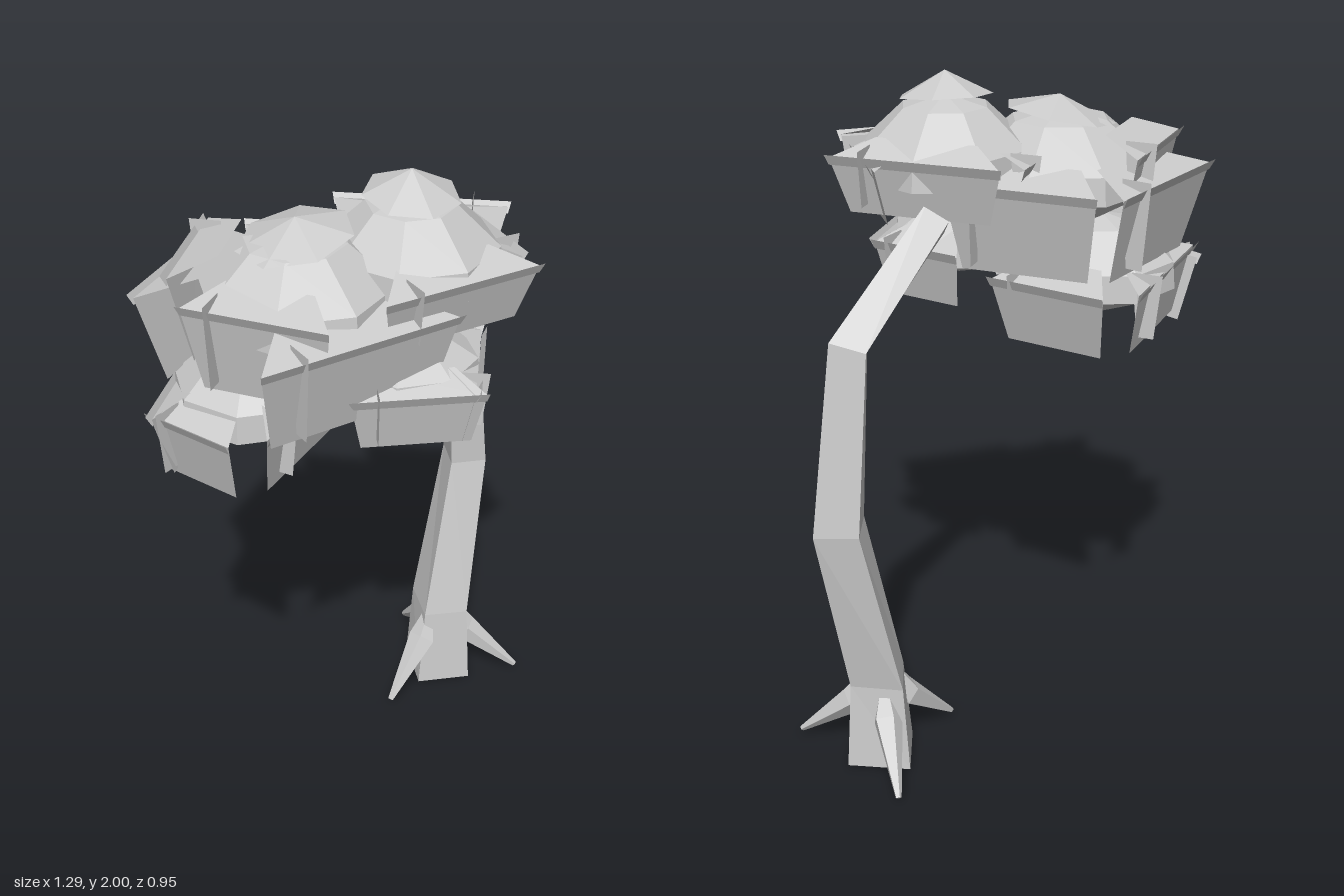
import * as THREE from 'three';

const bark = new THREE.MeshStandardMaterial({ color: 0xcccccc, flatShading: true, side: THREE.DoubleSide });
bark.name = 'pale grey';

function mesh(name, positions, index) {
  const g = new THREE.BufferGeometry();
  g.setAttribute('position', new THREE.Float32BufferAttribute(positions, 3));
  g.setIndex(index);
  const flat = g.toNonIndexed();
  flat.computeVertexNormals();
  const m = new THREE.Mesh(flat, bark);
  m.name = name;
  return m;
}

// Joins equal-sized rings of points into a skin, closing both ends
function loft(name, rings) {
  const n = rings[0].length, index = [];
  for (let r = 0; r < rings.length - 1; r++) {
    for (let i = 0; i < n; i++) {
      const a = r * n + i, b = r * n + (i + 1) % n;
      index.push(a, a + n, b, b, a + n, b + n);
    }
  }
  const last = (rings.length - 1) * n;
  for (let i = 1; i < n - 1; i++) index.push(0, i, i + 1, last, last + i + 1, last + i);
  return mesh(name, rings.flat(2), index);
}

// Faceted, tilted crown layer from [radius, y] steps
function dome(name, steps, sides, tiltX = 0, tiltZ = 0) {
  return loft(name, steps.map(([r, y]) => Array.from({ length: sides }, (_, i) => {
    const a = 0.3 - i / sides * Math.PI * 2;
    const x = r * Math.cos(a), z = r * Math.sin(a);
    return [x, y + x * tiltX + z * tiltZ, z];
  })));
}

// Leaf plate facing outwards: top and bottom edges at their own distance and width
function plate(name, angle, [outTop, widthTop, yTop], [outLow, widthLow, yLow]) {
  const c = Math.cos(angle), s = Math.sin(angle);
  const point = (out, w, y) => [out * c - w / 2 * s, y, out * s + w / 2 * c];
  return mesh(name, [
    point(outTop, -widthTop, yTop), point(outTop, widthTop, yTop),
    point(outLow, widthLow, yLow), point(outLow, -widthLow, yLow),
  ].flat(), [0, 1, 2, 0, 2, 3]);
}

// Leaf clump: faceted dome ringed by hanging plates given as [degrees, distance, width, lift]
function leafClump(name, x, z, { radius, rim, low, peak }, plates) {
  const clump = new THREE.Group();
  clump.name = name;
  clump.position.set(x, 0, z);
  clump.add(dome('crownDome', [[0, low + 0.03], [radius, rim - 0.06], [radius * 0.97, rim + 0.02],
    [radius * 0.5, peak - 0.03], [0, peak]], 8));
  for (const [degrees, out, width, lift = 0] of plates) {
    const a = THREE.MathUtils.degToRad(degrees), top = rim + lift, bottom = low + lift;
    const edge = [out, width, top];
    clump.add(plate('leafPlate', a, edge, [out * 0.83, width * 0.83, bottom]));
    // Strip along the rim and a fold rising to the dome
    clump.add(plate('rimStrip', a, [out + 0.015, width * 1.03, top + 0.01], [out, width, top - 0.02]));
    clump.add(plate('leafFold', a, edge, [out * 0.6, width * 0.6, top + 0.04]));
    // Narrow blade cutting through the plate near one end
    const blade = plate('blade', Math.PI / 2, [0, 0.09, top + 0.03], [0, 0.05, bottom + 0.03]);
    blade.rotation.y = -a;
    const side = width * 0.3;
    blade.position.set(out * 0.95 * Math.cos(a) - side * Math.sin(a), 0,
      out * 0.95 * Math.sin(a) + side * Math.cos(a));
    clump.add(blade);
  }
  return clump;
}

export function createModel() {
  const tree = new THREE.Group();
  tree.name = 'tree';

  // Bent four-sided trunk: left x, left y, right x, right y, half depth
  tree.add(loft('trunk', [
    [0.29, 0, 0.54, 0, 0.13], [0.32, 0.27, 0.52, 0.27, 0.11], [0.45, 0.81, 0.63, 0.8, 0.082],
    [0.42, 1.31, 0.55, 1.36, 0.068], [0.14, 1.58, 0.2, 1.68, 0.045],
  ].map(([xl, yl, xr, yr, d]) => {
    const x = (xl + xr) / 2, y = (yl + yr) / 2;
    return [[xr, yr, 0.01], [x, y, -d], [xl, yl, 0.01], [x, y, d]];
  })));

  // Three spike roots, thickest where they leave the trunk
  for (let i = 0; i < 3; i++) {
    const root = loft('root', [[0.27, 0.02, 0.009], [0.09, 0.17, 0.045], [0.04, 0.29, 0.006]]
      .map(([out, y, r]) => Array.from({ length: 5 }, (_, k) => {
        const t = k / 5 * Math.PI * 2, lift = r * Math.sin(t) * 0.7;
        return [-out - lift, y + lift, r * Math.cos(t)];
      })));
    root.position.x = 0.41;
    root.rotation.y = i * Math.PI * 2 / 3;
    tree.add(root);
  }

  // Two capped upper clumps
  const top = leafClump('topClump', 0.03, 0.13, { radius: 0.25, rim: 1.77, low: 1.61, peak: 1.93 },
    [[113, 0.265, 0.47], [27, 0.24, 0.36], [-29, 0.25, 0.49, 0.02], [243, 0.28, 0.25]]);
  top.add(dome('crownCap', [[0.135, 1.925], [0, 1.995]], 7, 0.05, -0.12));
  const broad = leafClump('broadClump', -0.25, -0.04, { radius: 0.28, rim: 1.72, low: 1.47, peak: 1.88 },
    [[111, 0.334, 0.59, -0.03], [164, 0.28, 0.41, 0.03], [257, 0.355, 0.48],
      [245, 0.293, 0.38, 0.08], [-27, 0.347, 0.44]]);
  broad.add(dome('crownCap', [[0.16, 1.86], [0, 1.915]], 7, 0.17, 0.08));

  // Two lower clumps
  tree.add(top, broad,
    leafClump('frontClump', -0.08, 0.2, { radius: 0.2, rim: 1.5, low: 1.34, peak: 1.61 },
      [[136, 0.216, 0.36], [59, 0.195, 0.37], [-16, 0.23, 0.28]]),
    leafClump('backClump', -0.33, -0.13, { radius: 0.23, rim: 1.43, low: 1.24, peak: 1.58 },
      [[81, 0.183, 0.49], [180, 0.275, 0.28, -0.02], [246, 0.21, 0.5], [-16, 0.309, 0.36]]));
  return tree;
}
